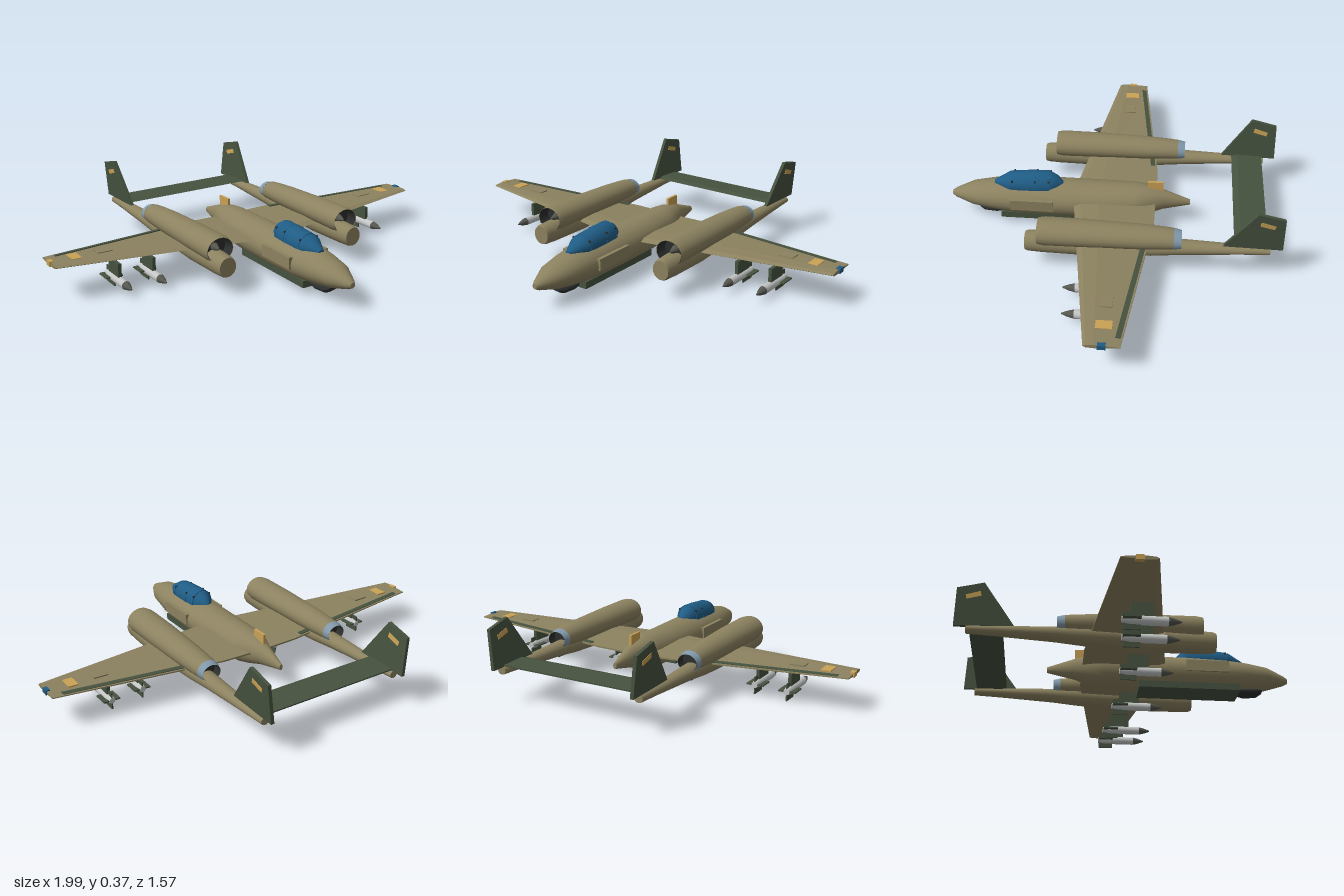
import * as THREE from 'three';

const mat = (name, color, side = THREE.FrontSide) => {
  const m = new THREE.MeshStandardMaterial({ color, side });
  m.name = name;
  return m;
};

// Skin between closed rings of [x, y, z]; rings run counter-clockwise seen from the first one
function loft(rings, { flat = false, capA = true, capB = true } = {}) {
  const n = rings[0].length, pos = rings.flat(2), idx = [];
  for (let i = 0; i < rings.length - 1; i++) {
    for (let j = 0; j < n; j++) {
      const a = i * n + j, b = i * n + (j + 1) % n;
      idx.push(a, a + n, b, b, a + n, b + n);
    }
  }
  const cap = (ring, flip) => {
    const c = pos.length / 3;
    const mid = [0, 1, 2].map(k => ring.reduce((s, p) => s + p[k], 0) / n);
    pos.push(...mid, ...ring.flat());
    for (let j = 0; j < n; j++) {
      const a = c + 1 + j, b = c + 1 + (j + 1) % n;
      idx.push(c, flip ? b : a, flip ? a : b);
    }
  };
  if (capA) cap(rings[0], false);
  if (capB) cap(rings[rings.length - 1], true);
  let g = new THREE.BufferGeometry();
  g.setAttribute('position', new THREE.Float32BufferAttribute(pos, 3));
  g.setIndex(idx);
  if (flat) g = g.toNonIndexed();
  g.computeVertexNormals();
  return g;
}

// Round body from front to back; stations are [z, y, rx, ry]
const body = (stations, x = 0, opts = {}, n = 28) => loft(stations.map(([z, y, rx, ry]) =>
  Array.from({ length: n }, (_, j) => {
    const a = (j / n) * Math.PI * 2;
    return [x + rx * Math.cos(a), y + ry * Math.sin(a), z];
  })), opts);

// Upright plate from [z, y] corners (top, front, bottom, back), leaning with height
const slab = (pts, x, t, lean = 0, y0 = 0) => loft([t / 2, -t / 2].map(d =>
  pts.map(([z, y]) => [x + d + lean * (y - y0), y, z])), { flat: true });

// Wing dimensions at span position x
function wingAt(x) {
  const k = Math.abs(x) / 0.99;
  return {
    y: 0.143 + 0.021 * k, t: 0.034 - 0.016 * k, front: 0.195 - 0.155 * k,
    back: Math.abs(x) < 0.2 ? -0.205 : -0.205 + 0.095 * (Math.abs(x) - 0.2) / 0.79,
  };
}

export function createModel() {
  const group = new THREE.Group();
  group.name = 'twinBoomAircraft';
  const olive = mat('olive', 0x8c8260, THREE.DoubleSide);
  const green = mat('dark green', 0x46523f);
  const blue = mat('canopy blue', 0x1f5c85);
  const sand = mat('sand yellow', 0xc9a255);
  const silver = mat('light grey', 0xc4c6c6);
  const steel = mat('steel blue', 0x8299ab);
  const dark = mat('charcoal', 0x2b2e2c, THREE.DoubleSide);
  const grey = mat('mid grey', 0x55574f);

  const add = (name, geo, m) => {
    const mesh = new THREE.Mesh(geo, m);
    mesh.name = name;
    group.add(mesh);
    return mesh;
  };
  const box = (name, m, w, h, d, x, y, z) => {
    const mesh = add(name, new THREE.BoxGeometry(w, h, d), m);
    mesh.position.set(x, y, z);
    return mesh;
  };

  // Central fuselage
  add('fuselage', body([[0.785, 0.118, 0.012, 0.012], [0.765, 0.119, 0.026, 0.024],
    [0.68, 0.125, 0.068, 0.054], [0.58, 0.126, 0.086, 0.071], [0.48, 0.126, 0.099, 0.08],
    [0.3, 0.126, 0.102, 0.086], [0.05, 0.126, 0.097, 0.086], [-0.1, 0.13, 0.088, 0.084],
    [-0.16, 0.136, 0.074, 0.074], [-0.24, 0.14, 0.04, 0.052], [-0.37, 0.13, 0.009, 0.014]]), olive);
  box('bellyPanel', green, 0.14, 0.032, 0.48, 0, 0.05, 0.3);
  add('chinPod', body([[0.655, 0.057, 0.022, 0.008], [0.63, 0.05, 0.036, 0.018],
    [0.57, 0.047, 0.038, 0.02], [0.53, 0.05, 0.03, 0.014]]), dark);
  add('dorsalAerial', slab([[-0.165, 0.24], [-0.165, 0.19], [-0.24, 0.18], [-0.24, 0.24]], 0, 0.012), sand);

  // Canopy and its frames
  add('canopy', body([[0.572, 0.198, 0.014, 0.008], [0.5, 0.2, 0.053, 0.049], [0.46, 0.2, 0.058, 0.056],
    [0.38, 0.2, 0.059, 0.063], [0.31, 0.2, 0.057, 0.066], [0.27, 0.2, 0.038, 0.046],
    [0.24, 0.2, 0.014, 0.016]]), blue);
  for (const [z, rx, ry] of [[0.48, 0.057, 0.054], [0.37, 0.06, 0.064], [0.305, 0.057, 0.065]]) {
    add('canopyFrame', body([[z + 0.003, 0.2, rx, ry], [z - 0.003, 0.2, rx, ry]]), blue);
    for (const s of [-1, 1]) box('canopyLatch', dark, 0.008, 0.008, 0.008, s * rx * 0.8, 0.2 + ry * 0.6, z);
  }

  // Main wing
  add('wing', loft([0.99, 0.2, 0, -0.2, -0.99].map(x => {
    const { y, t, front, back } = wingAt(x), c = front - back;
    return [[0.3, 0.5], [0.08, 0.35], [0, 0], [0.08, -0.35], [0.3, -0.5], [1, -0.12], [1, 0.12]]
      .map(([u, v]) => [x, y + v * t, front - u * c]);
  }), { flat: true }), olive);

  // Store hung under the wing: pylon, body, nose and crossed fins
  const store = (x, nose) => {
    add('storeBody', body([[nose - 0.055, 0.045, 0.02, 0.02], [nose - 0.21, 0.045, 0.02, 0.02],
      [nose - 0.245, 0.045, 0.014, 0.014]], x, {}, 14), silver);
    add('storeNose', body([[nose, 0.045, 0.003, 0.003], [nose - 0.03, 0.045, 0.014, 0.014],
      [nose - 0.055, 0.045, 0.0195, 0.0195]], x, {}, 14), grey);
    box('storeFin', green, 0.006, 0.08, 0.075, x, 0.042, nose - 0.205);
    box('storeFin', green, 0.08, 0.006, 0.075, x, 0.045, nose - 0.205);
    box('pylon', green, 0.016, 0.068, 0.1, x, 0.092, nose - 0.16);
  };

  for (const s of [-1, 1]) {
    const bx = s * 0.347;

    // Trailing-edge control strip
    const strip = [s * 0.94, s * 0.25].sort((a, b) => b - a).map(x => {
      const { y, t, back } = wingAt(x), top = y + 0.25 * t + 0.002;
      return [[x, top, back + 0.03], [x, y, back + 0.03], [x, y, back + 0.008], [x, top - 0.002, back + 0.008]];
    });
    add('flap', loft(strip, { flat: true }), green);

    // Wing markings, hatch and tip light
    const tilt = s * 0.021;
    box('wingMarking', sand, 0.046, 0.008, 0.07, s * 0.875, 0.1685, -0.035).rotation.z = tilt;
    box('wingHatch', olive, 0.07, 0.008, 0.05, s * 0.74, 0.168, -0.035).rotation.z = tilt;
    box('tipLight', s > 0 ? blue : sand, 0.02, 0.022, 0.034, s * 0.985, 0.164, -0.035);

    // Fuselage side panel
    add('sidePanel', slab([[0.28, 0.165], [0.485, 0.165], [0.485, 0.11], [0.28, 0.11]], s * 0.098, 0.018), olive);

    // Boom with blunt front
    add('boom', body([[0.372, 0.136, 0.041, 0.044], [0.36, 0.136, 0.045, 0.049], [0.3, 0.136, 0.049, 0.052],
      [0.1, 0.136, 0.055, 0.053], [-0.2, 0.141, 0.046, 0.043], [-0.34, 0.146, 0.039, 0.034],
      [-0.6, 0.15, 0.026, 0.022], [-0.73, 0.151, 0.02, 0.017]], bx), olive);

    // Engine nacelle, intake and exhaust
    add('nacelle', body([[0.312, 0.197, 0.066, 0.056], [0.28, 0.197, 0.073, 0.06], [0.1, 0.197, 0.072, 0.058],
      [-0.15, 0.194, 0.063, 0.054], [-0.25, 0.193, 0.057, 0.049], [-0.3, 0.192, 0.053, 0.045]],
      bx, { capA: false, capB: false }), olive);
    add('intakeLining', body([[0.311, 0.197, 0.064, 0.054], [0.26, 0.197, 0.056, 0.048]],
      bx, { capA: false }), dark);
    add('intakeHub', body([[0.3, 0.197, 0.004, 0.004], [0.261, 0.197, 0.02, 0.02]], bx), grey);
    add('exhaustRing', body([[-0.3, 0.192, 0.0535, 0.0455], [-0.335, 0.19, 0.047, 0.039]],
      bx, { capA: false, capB: false }), steel);
    add('exhaustLining', body([[-0.29, 0.192, 0.044, 0.036], [-0.334, 0.19, 0.0455, 0.0375]],
      bx, { capB: false }), dark);

    // Tail fin and its marking
    add('tailFin', slab([[-0.66, 0.374], [-0.52, 0.172], [-0.785, 0.166], [-0.78, 0.345]],
      s * 0.35, 0.016, s * 0.09, 0.17), green);
    add('finMarking', slab([[-0.675, 0.332], [-0.67, 0.31], [-0.735, 0.292], [-0.74, 0.312]],
      s * 0.35, 0.02, s * 0.09, 0.17), sand);

    // Underwing stores
    store(s * 0.21, 0.2);
    store(s * 0.545, 0.18);
    store(s * 0.705, 0.165);
  }

  // Tailplane joining the booms
  add('tailplane', slab([[-0.6, 0.18], [-0.57, 0.172], [-0.6, 0.163], [-0.72, 0.169], [-0.72, 0.175]], 0, 0.69), green);
  return group;
}
